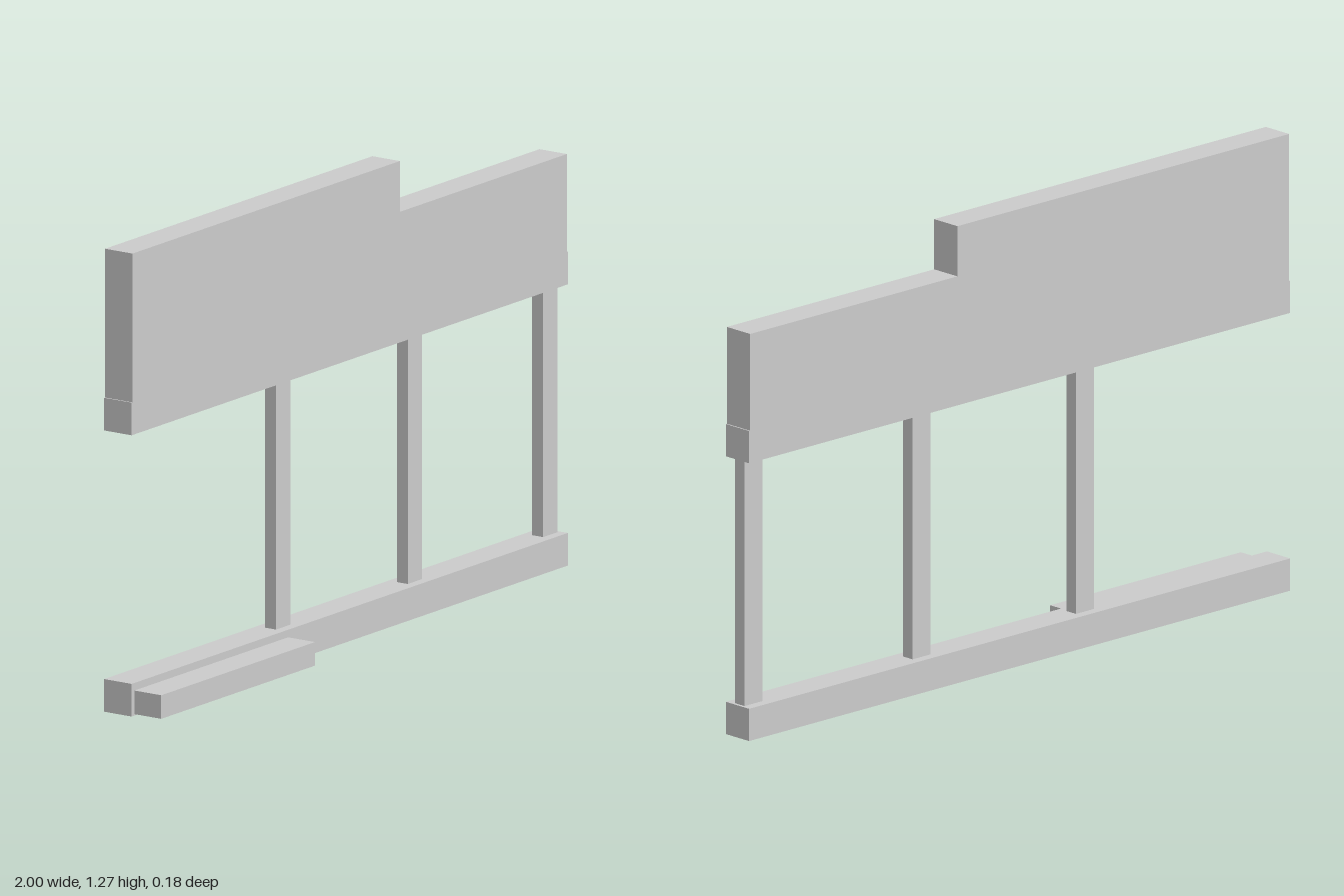
import * as THREE from 'three';

const material = new THREE.MeshStandardMaterial({ color: 0xcccccc });

export function createModel() {
  const group = new THREE.Group();

  // Box given by its minimum and maximum corners
  const box = (name, [x0, y0, z0], [x1, y1, z1]) => {
    const mesh = new THREE.Mesh(new THREE.BoxGeometry(x1 - x0, y1 - y0, z1 - z0), material);
    mesh.position.set((x0 + x1) / 2, (y0 + y1) / 2, (z0 + z1) / 2);
    mesh.name = name;
    group.add(mesh);
  };

  // Ground beam and the low step in front of it
  box('baseBeam', [-1, 0, -0.09], [1, 0.09, 0]);
  box('frontStep', [-0.99, 0.005, 0.002], [-0.285, 0.07, 0.09]);

  // Slender posts between the two beams
  [-0.267, 0.337, 0.958].forEach((x, i) =>
    box(`post${i + 1}`, [x - 0.033, 0.09, -0.063], [x + 0.033, 0.775, -0.027]));

  // Beam carrying the wall
  box('upperBeam', [-1, 0.775, -0.09], [1, 0.865, 0]);

  // Stepped wall panel
  const outline = [[-0.996, 0.865], [0.996, 0.865], [0.996, 1.135], [0.23, 1.135], [0.23, 1.275], [-0.996, 1.275]];
  const shape = new THREE.Shape(outline.map(([x, y]) => new THREE.Vector2(x, y)));
  const wall = new THREE.Mesh(new THREE.ExtrudeGeometry(shape, { depth: 0.09, bevelEnabled: false }), material);
  wall.position.z = -0.09;
  wall.name = 'steppedWall';
  group.add(wall);

  return group;
}
